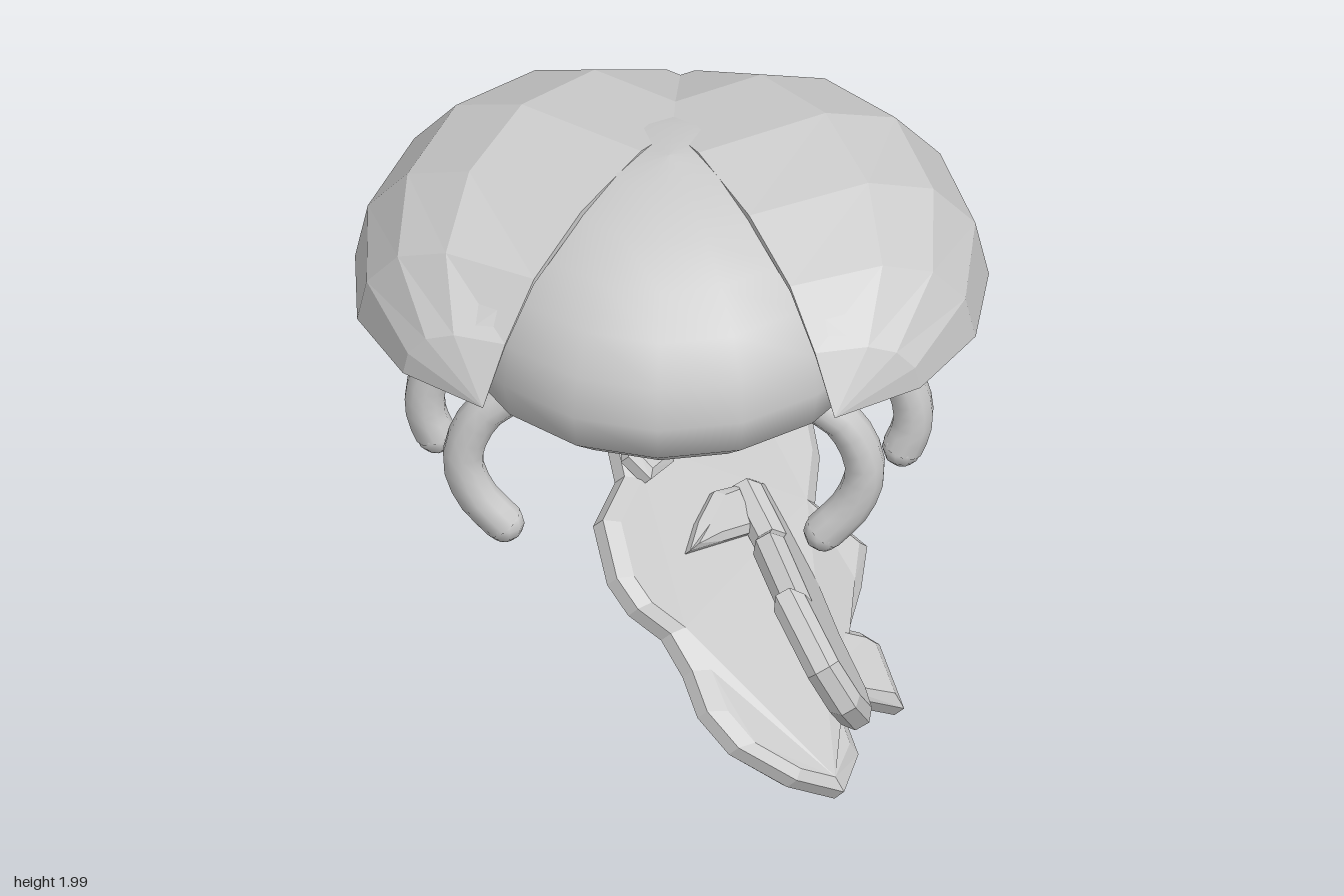
import * as THREE from 'three';

const smooth = new THREE.MeshStandardMaterial({ color: 0xcccccc, side: THREE.DoubleSide });
const faceted = new THREE.MeshStandardMaterial({ color: 0xcccccc, side: THREE.DoubleSide, flatShading: true });

function add(group, name, geometry, material) {
  const mesh = new THREE.Mesh(geometry, material);
  mesh.name = name;
  group.add(mesh);
  return mesh;
}

// Wing case: closed cross-sections lofted from the front tip to the back tip
function wingCaseGeometry() {
  // [distance along the axis, half width]
  const stations = [[0.85, 0], [0.834, 0.316], [0.67, 0.605], [0.387, 0.81], [0.026, 0.89],
    [-0.318, 0.81], [-0.58, 0.62], [-0.76, 0.33], [-0.82, 0]];
  // [across, height, forward reach]: the inner edge reaches less far forward
  const arc = [[1, 0, 1], [0.94, 0.23, 1], [0.76, 0.42, 0.98], [0.48, 0.52, 0.95], [-0.03, 0.52, 0.89]];
  const loop = [
    ...arc.map((p) => [...p, 1]),
    ...arc.slice().reverse().map((p) => [...p, 0.94]),
  ];
  const n = loop.length, pos = [], idx = [];
  for (const [along, width] of stations) {
    for (const [across, height, reach, inset] of loop) {
      const a = width > 0 && along > 0 ? along * reach : along;
      const p = across * width * inset;
      const h = height * (width / 0.89) * inset;
      pos.push(0.1 + 0.53 * a + 0.848 * p, 1.48 + h, 0.12 + 0.848 * a - 0.53 * p);
    }
  }
  for (let i = 0; i < stations.length - 1; i++) {
    for (let j = 0; j < n; j++) {
      const a = i * n + j, b = i * n + (j + 1) % n, c = a + n, d = b + n;
      idx.push(a, c, b, b, c, d);
    }
  }
  const g = new THREE.BufferGeometry();
  g.setAttribute('position', new THREE.Float32BufferAttribute(pos, 3));
  g.setIndex(idx);
  g.computeVertexNormals();
  return g;
}

// Bevelled plate: side outline [z, y] laid onto the plane normal . p = offset,
// with an optional sideways bend
function plateGeometry(outline, n, offset, low, high, bevel = 0.03, bend = () => 0) {
  const shape = new THREE.Shape(outline.map(([z, y]) => new THREE.Vector2(-z, y)));
  const g = new THREE.ExtrudeGeometry(shape, {
    depth: high - low - 2 * bevel, bevelEnabled: true, bevelSegments: 1,
    bevelThickness: bevel, bevelSize: bevel, bevelOffset: -bevel,
  });
  const p = g.attributes.position;
  for (let i = 0; i < p.count; i++) {
    const z = -p.getX(i), y = p.getY(i), w = p.getZ(i) + low + bevel;
    const x = (offset - n.y * y - n.z * z) / n.x + bend(y, z);
    p.setXYZ(i, x + n.x * w, y + n.y * w, z + n.z * w);
  }
  g.computeVertexNormals();
  return g;
}

export function createModel() {
  const model = new THREE.Group();
  model.name = 'beetle';

  // Domed body with a flat belly
  const profile = [[0.61, 1.26], [0.745, 1.36], [0.77, 1.48]];
  for (let i = 1; i <= 6; i++) {
    const t = (i / 6) * Math.PI / 2;
    profile.push([i === 6 ? 0 : 0.77 * Math.cos(t), 1.48 + 0.52 * Math.sin(t)]);
  }
  const body = add(model, 'body', new THREE.LatheGeometry(
    profile.map(([r, y]) => new THREE.Vector2(r, y)), 16), smooth);
  body.scale.x = 0.9;
  body.position.z = 0.17;
  // Belly disc is separate so that its rim stays sharp
  const belly = add(model, 'belly', new THREE.CircleGeometry(0.61, 16), smooth);
  belly.rotation.x = Math.PI / 2;
  belly.scale.x = 0.9;
  belly.position.set(0, 1.26, 0.17);

  // Wing cases, spread open towards the front
  const wing = wingCaseGeometry();
  add(model, 'leftWingCase', wing, faceted);
  add(model, 'rightWingCase', wing, faceted).scale.x = -1;

  // Head
  const head = add(model, 'head', new THREE.SphereGeometry(1, 12, 8), smooth);
  head.geometry.rotateX(Math.PI / 2);
  head.scale.set(0.39, 0.28, 0.46);
  head.position.set(0, 1.225, -0.5);

  // Three pairs of curved legs
  const legs = {
    FrontLeg: [[0.46, 1.33, 0.52], [0.57, 1.24, 0.52], [0.63, 1.08, 0.52], [0.59, 0.94, 0.52], [0.5, 0.83, 0.52]],
    MiddleLeg: [[0.6, 1.35, 0.2], [0.7, 1.26, 0.2], [0.76, 1.12, 0.2], [0.76, 1.02, 0.2], [0.73, 0.94, 0.2]],
    BackLeg: [[0.43, 1.3, -0.06], [0.41, 1.16, -0.09], [0.36, 1.04, -0.13], [0.28, 0.97, -0.17], [0.2, 0.95, -0.21]],
  };
  for (const [name, points] of Object.entries(legs)) {
    const path = new THREE.CatmullRomCurve3(points.map((p) => new THREE.Vector3(...p)));
    const tube = new THREE.TubeGeometry(path, 10, 0.065, 10);
    const foot = new THREE.SphereGeometry(0.064, 10, 6);
    for (const [side, sx] of [['left', 1], ['right', -1]]) {
      const leg = new THREE.Group();
      leg.name = side + name;
      leg.scale.x = sx;
      add(leg, 'limb', tube, smooth);
      add(leg, 'foot', foot, smooth).position.set(...points[points.length - 1]);
      model.add(leg);
    }
  }

  // Carried slab: a twisted lower plate with smaller pieces lying on it
  const lowerN = new THREE.Vector3(0.63, 0.72, 0.29).normalize();
  const twist = (y, z) => 0.9 * Math.max(0, 0.4 - y) * Math.max(0, z - 0.3)
    + 0.25 * Math.max(0, -z) + 0.8 * Math.max(0, y - 0.88);
  const onLower = (name, outline, low, high, bevel) =>
    add(model, name, plateGeometry(outline, lowerN, 0.56, low, high, bevel, twist), faceted);
  onLower('lowerPlate', [[0.9, 0.26], [0.91, 0.15], [0.85, 0.07], [0.64, 0.07], [0.46, 0.15], [0.2, 0.21],
    [0, 0.26], [-0.13, 0.33], [-0.14, 0.48], [-0.28, 0.56], [-0.37, 0.64], [-0.42, 0.78], [-0.39, 0.9],
    [-0.3, 0.99], [-0.18, 1.03], [0.01, 1.04], [0.08, 0.97], [0.13, 0.87], [0.22, 0.81], [0.42, 0.78],
    [0.58, 0.67], [0.63, 0.59], [0.63, 0.5], [0.7, 0.41], [0.82, 0.34]], -0.08, 0.03);
  onLower('bottomTab', [[0.53, 0.22], [0.33, 0.02], [0.17, 0.15], [0.18, 0.2], [0.28, 0.31]], -0.05, 0.06);
  onLower('backBlock', [[-0.02, 0.78], [-0.1, 0.68], [-0.36, 0.86], [-0.34, 0.95], [-0.26, 0.97]], 0, 0.12);
  onLower('topClaw', [[0.2, 0.84], [0.22, 0.77], [0.1, 0.76], [0, 0.85], [-0.18, 0.92], [-0.2, 0.99],
    [-0.04, 0.98], [0.08, 0.92]], 0, 0.08, 0.02);
  onLower('middleRidge', [[0.36, 0.6], [0.24, 0.56], [0.12, 0.52], [0.02, 0.62], [0.1, 0.65], [0.24, 0.63]],
    0, 0.08, 0.02);

  // Upper plate, hinged away from the lower one towards the front
  const upperN = new THREE.Vector3(0.355, 0.187, -0.103).normalize();
  const upperD = upperN.dot(new THREE.Vector3(0.385, 0.73, 0.71));
  add(model, 'upperPlate', plateGeometry([[0.95, 0.6], [0.71, 0.73], [0.62, 0.64], [0.32, 0.67], [0.2, 0.6],
    [0.04, 0.68], [-0.1, 0.58], [0.09, 0.34], [0.3, 0.34], [0.45, 0.34], [0.65, 0.27], [0.83, 0.31],
    [0.94, 0.44]], upperN, upperD, -0.06, 0.05), faceted);

  return model;
}
